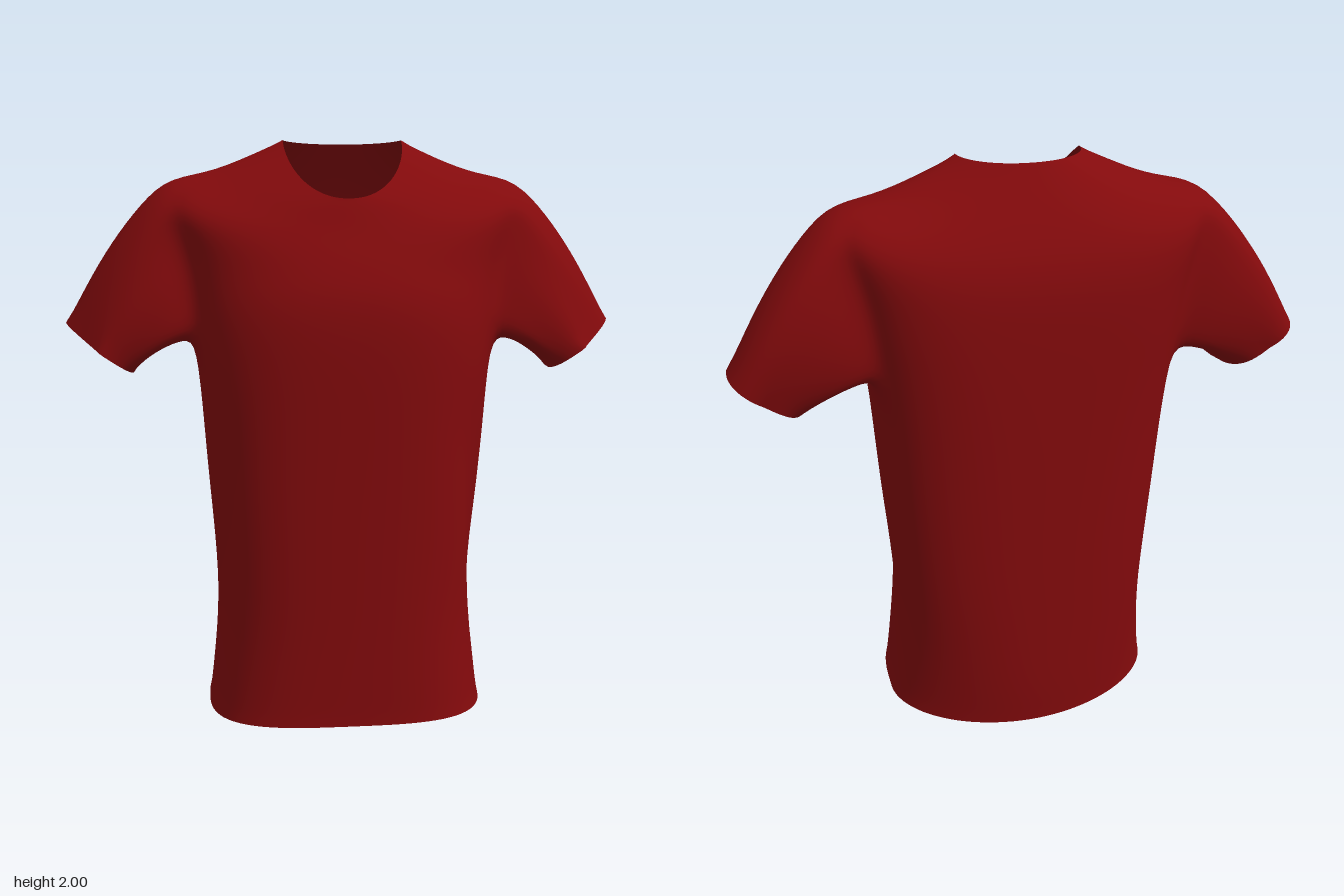
import * as THREE from 'three';

const N = 96;       // columns around the body
const SUB = 4;      // rows between two key rings
const K = 6;        // half width of an armhole, in columns
const SLEEVE = 14;  // rings along a sleeve
const SIDE_Z = -0.05;

// Key rings, hem to neck: half width, front z, back z, side y, front y, back y,
// front and back roundness (1 is an ellipse, less is boxier)
const RINGS = [
  [0.487, 0.35, -0.325, 0.045, 0.06, 0.0, 0.62, 1.02],
  [0.472, 0.35, -0.335, 0.16, 0.17, 0.13, 0.64, 0.98],
  [0.455, 0.35, -0.34, 0.35, 0.36, 0.33, 0.67, 0.86],
  [0.455, 0.352, -0.345, 0.56, 0.57, 0.55, 0.68, 0.76],
  [0.475, 0.355, -0.35, 0.85, 0.86, 0.85, 0.68, 0.72],
  [0.49, 0.36, -0.355, 1.12, 1.13, 1.12, 0.7, 0.68],
  [0.51, 0.363, -0.358, 1.345, 1.38, 1.35, 0.74, 0.62],
  [0.525, 0.348, -0.358, 1.47, 1.5, 1.47, 0.8, 0.58],
  [0.55, 0.324, -0.356, 1.62, 1.57, 1.58, 0.87, 0.58],
  [0.59, 0.298, -0.347, 1.765, 1.63, 1.66, 0.9, 0.6],
  [0.605, 0.268, -0.328, 1.872, 1.69, 1.73, 0.9, 0.64],
  [0.46, 0.245, -0.298, 1.898, 1.74, 1.8, 0.9, 0.7],
  [0.33, 0.225, -0.25, 1.945, 1.785, 1.89, 0.9, 0.85],
  [0.2, 0.212, -0.19, 2.0, 1.81, 1.99, 0.92, 0.95],
];
const ARMPIT = 6 * SUB, SHOULDER = 10 * SUB, ROWS = (RINGS.length - 1) * SUB;

// Smooth in-between ring at row j
function ringAt(j) {
  const b = Math.min(Math.floor(j / SUB), RINGS.length - 2), t = j / SUB - b;
  const key = (i) => RINGS[Math.max(0, Math.min(RINGS.length - 1, i))];
  return RINGS[0].map((_, c) => {
    const p0 = key(b - 1)[c], p1 = key(b)[c], p2 = key(b + 1)[c], p3 = key(b + 2)[c];
    return p1 + 0.5 * t * (p2 - p0 + t * (2 * p0 - 5 * p1 + 4 * p2 - p3 + t * (3 * (p1 - p2) + p3 - p0)));
  });
}

function bodyPoint(j, i) {
  const [w, zf, zb, ys, yf, yb, pf, pb] = ringAt(j);
  const a = (i / N) * Math.PI * 2, c = Math.cos(a), s = Math.sin(a);
  const m = Math.abs(s), front = s > 0, p = front ? pf : pb;
  let x = Math.sign(c) * w * Math.abs(c) ** p;
  let z = SIDE_Z + ((front ? zf : zb) - SIDE_Z) * m ** p;
  const y = ys + ((front ? yf : yb) - ys) * m ** (front ? 1.1 : 1.4);
  // soft diagonal fold down each flank
  const fade = Math.max(0, 1 - ((y - 0.7) / 0.5) ** 2);
  const fold = 0.022 * fade * Math.exp(-(((z - 0.25 + 0.25 * (1.1 - y)) / 0.07) ** 2));
  x -= fold * c;
  z -= fold * s;
  return new THREE.Vector3(x, y, z);
}

// Path of one sleeve thread from the armhole edge to the cuff
function sleeveCurve(start, side) {
  const a = Math.atan2((start.z - SIDE_Z) / 0.18, (start.y - 1.61) / 0.26);
  let u = Math.cos(a), f = Math.sin(a);
  const top = Math.max(u, 0);
  if (u < 0) {  // flatter underside
    u = -(Math.abs(u) ** 0.65);
    f = Math.sign(f) * Math.abs(f) ** 0.65;
  } else if (f > 0) {  // slanting front edge
    u = u ** 1.8;
  }
  const cuff = new THREE.Vector3(
    side * (0.835 + 0.115 * u - 0.02 * f), 1.31 + 0.08 * u, -0.04 + 0.174 * f - 0.05 * top);
  const bend = start.clone().lerp(cuff, 0.5);
  bend.x += side * 0.015 * top;
  bend.y += 0.05 + 0.028 * top;
  bend.z += (f < 0 ? 0.07 : 0.045) * f;
  return new THREE.QuadraticBezierCurve3(start.clone(), bend, cuff);
}

// Relax the cloth, keeping the open edges fixed
function relax(points, index, passes) {
  const near = points.map(() => new Map());
  const link = (a, b) => near[a].set(b, (near[a].get(b) || 0) + 1);
  for (let t = 0; t < index.length; t += 3) {
    for (let e = 0; e < 3; e++) {
      const a = index[t + e], b = index[t + ((e + 1) % 3)];
      link(a, b);
      link(b, a);
    }
  }
  const fixed = near.map((n) => n.size === 0 || [...n.values()].some((count) => count === 1));
  for (let k = 0; k < passes; k++) {
    const old = points.map((p) => p.clone());
    points.forEach((p, v) => {
      if (fixed[v]) return;
      const mean = new THREE.Vector3();
      for (const n of near[v].keys()) mean.add(old[n]);
      p.lerp(mean.divideScalar(near[v].size), 0.5);
    });
  }
}

function shirtGeometry() {
  const points = [], index = [];
  const id = (j, i) => j * N + ((i + N) % N);
  const quad = (a, b, c, d) => index.push(a, d, c, a, c, b);

  // body, leaving out both armholes
  for (let j = 0; j <= ROWS; j++) for (let i = 0; i < N; i++) points.push(bodyPoint(j, i));
  const inHole = (j, i) => j >= ARMPIT && j < SHOULDER &&
    [0, N / 2].some((mid) => ((i - mid + K + N) % N) < 2 * K);
  for (let j = 0; j < ROWS; j++) {
    for (let i = 0; i < N; i++) {
      if (!inHole(j, i)) quad(id(j, i), id(j, i + 1), id(j + 1, i + 1), id(j + 1, i));
    }
  }

  // sleeves, from the armhole edge to the cuff
  for (const side of [1, -1]) {
    const mid = side > 0 ? 0 : N / 2, loop = [];
    // both loops run the same way round as seen from outside
    for (let i = -K; i < K; i++) loop.push(id(ARMPIT, mid + i));
    for (let j = ARMPIT; j < SHOULDER; j++) loop.push(id(j, mid + K));
    for (let i = K; i > -K; i--) loop.push(id(SHOULDER, mid + i));
    for (let j = SHOULDER; j > ARMPIT; j--) loop.push(id(j, mid - K));

    const curves = loop.map((v) => sleeveCurve(points[v], side));
    let previous = loop;
    for (let r = 1; r <= SLEEVE; r++) {
      const next = curves.map((curve) => points.push(curve.getPoint(r / SLEEVE)) - 1);
      for (let q = 0; q < loop.length; q++) {
        const n = (q + 1) % loop.length;
        quad(previous[q], previous[n], next[n], next[q]);
      }
      previous = next;
    }
  }

  relax(points, index, 8);
  const geometry = new THREE.BufferGeometry().setFromPoints(points);
  geometry.setIndex(index);
  geometry.computeVertexNormals();
  return geometry;
}

export function createModel() {
  const model = new THREE.Group();
  model.name = 'tShirt';
  const cloth = new THREE.MeshStandardMaterial({ color: 0x830a0c, side: THREE.DoubleSide });
  cloth.name = 'red cloth';
  const shirt = new THREE.Mesh(shirtGeometry(), cloth);
  shirt.name = 'shirtBodyAndSleeves';
  model.add(shirt);
  return model;
}
